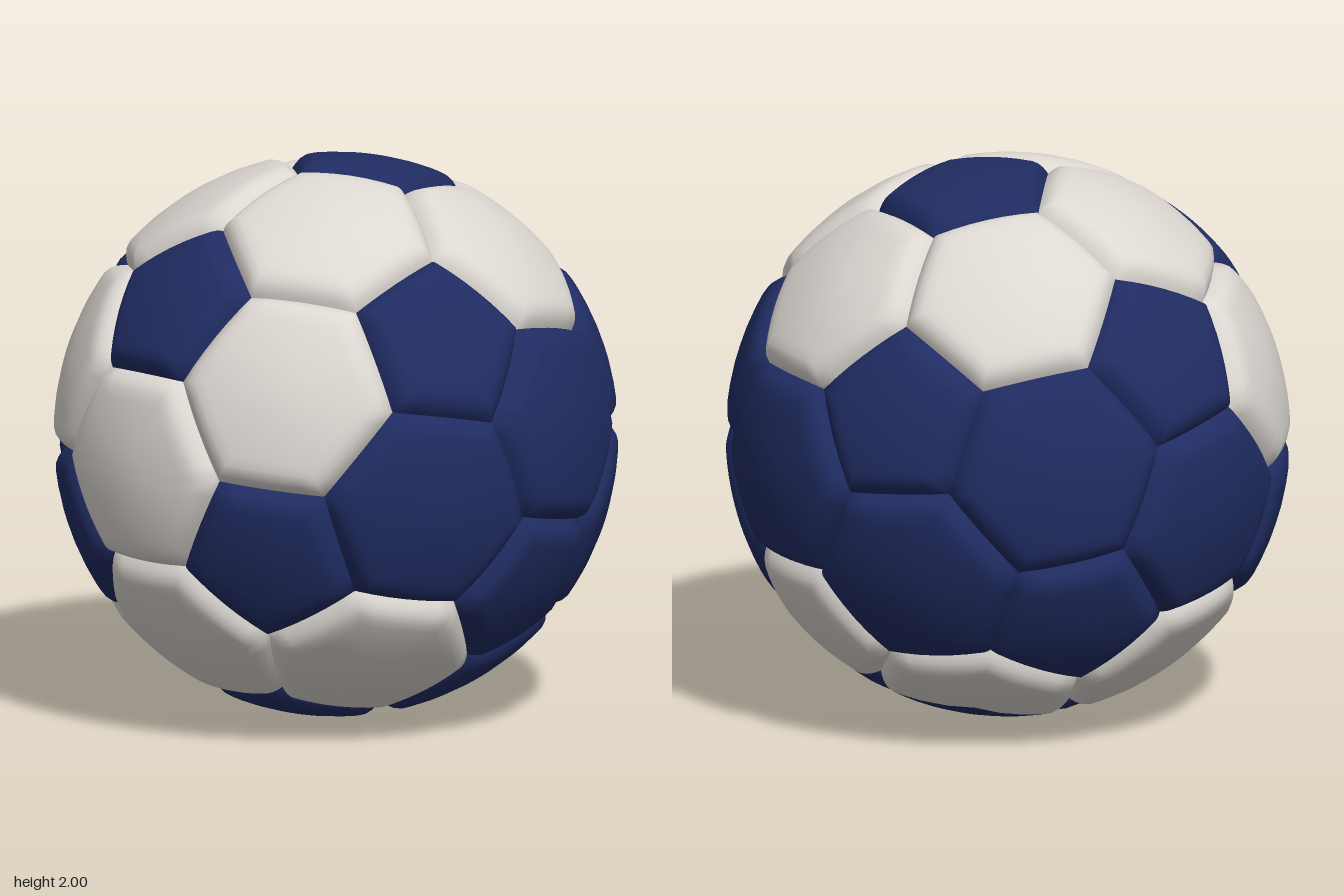
import * as THREE from 'three';

const navy = new THREE.MeshStandardMaterial({ color: 0x202c62 });
navy.name = 'navy leather';
const white = new THREE.MeshStandardMaterial({ color: 0xdcd7d1 });
white.name = 'off-white leather';

// Direction from an angle off +z and an azimuth around it (degrees)
function dir(polar, azimuth) {
  const p = THREE.MathUtils.degToRad(polar), a = THREE.MathUtils.degToRad(azimuth);
  return new THREE.Vector3(Math.sin(p) * Math.cos(a), Math.sin(p) * Math.sin(a), Math.cos(p));
}

// Icosahedron corners (pentagon centres), with one face turned to the front
function pentagonCentres() {
  const half = [];
  for (const a of [90, 210, 330]) half.push(dir(37.377, a), dir(79.188, a + 180));
  return [...half, ...half.map(v => v.clone().negate())];
}

// Puffed panel: rings from the centre outwards, rolled down into the seam
function panelGeometry(centre, corners) {
  const SEG = 6, n = corners.length, around = n * SEG;
  const rings = [0.25, 0.5, 0.68, 0.78, 0.86, 0.92, 0.965, 1];
  const inradius = n === 5 ? 0.29 : 0.37, roll = 0.085, seam = 0.05;
  const pos = [...centre.toArray()], index = [];
  const flat = centre.clone().multiplyScalar(corners[0].dot(centre));
  for (const t of rings) {
    const edge = Math.max(0, 1 - (1 - t) * inradius / roll);
    const radius = 1 - seam * edge ** 2;
    for (let i = 0; i < around; i++) {
      const k = Math.floor(i / SEG);
      const p = corners[k].clone().lerp(corners[(k + 1) % n], (i % SEG) / SEG);
      pos.push(...flat.clone().lerp(p, t).setLength(radius).toArray());
    }
  }
  const id = (r, i) => 1 + r * around + (i % around);
  const geo = new THREE.BufferGeometry();
  // One material group for each wedge between two corners
  for (let k = 0; k < n; k++) {
    const start = index.length;
    for (let i = k * SEG; i < (k + 1) * SEG; i++) {
      index.push(0, id(0, i), id(0, i + 1));
      for (let r = 0; r < rings.length - 1; r++) {
        const a = id(r, i), b = id(r + 1, i), c = id(r + 1, i + 1), d = id(r, i + 1);
        index.push(a, b, c, a, c, d);
      }
    }
    geo.addGroup(start, index.length - start, 0);
  }
  geo.setAttribute('position', new THREE.Float32BufferAttribute(pos, 3));
  geo.setIndex(index);
  geo.computeVertexNormals();
  return geo;
}

// The corners that belong to a panel, counter-clockwise seen from outside
function cornersOf(centre, points, n) {
  const near = [...points].sort((a, b) => b.dot(centre) - a.dot(centre)).slice(0, n);
  const u = near[0].clone().addScaledVector(centre, -near[0].dot(centre)).normalize();
  const v = centre.clone().cross(u);
  const angle = p => Math.atan2(p.dot(v), p.dot(u));
  return near.sort((a, b) => angle(a) - angle(b));
}

export function createModel() {
  const ball = new THREE.Group();
  ball.name = 'ball';
  const pents = pentagonCentres();
  const adjacent = (a, b) => a !== b && a.dot(b) > 0.4;

  // Seam corners: a third of the way along every edge; hexagons: every face
  const points = [], hexes = [];
  pents.forEach((a, i) => pents.forEach((b, j) => {
    if (!adjacent(a, b)) return;
    points.push(a.clone().lerp(b, 1 / 3).normalize());
    pents.forEach((c, k) => {
      if (i < j && j < k && adjacent(a, c) && adjacent(b, c))
        hexes.push(a.clone().add(b).add(c).normalize());
    });
  }));

  // Pentagons: all navy but the low one at the back
  const whitePentagon = new THREE.Vector3(0, -0.607, -0.795).normalize();
  for (const c of pents) {
    const material = c.dot(whitePentagon) > 0.95 ? white : navy;
    const mesh = new THREE.Mesh(panelGeometry(c, cornersOf(c, points, 5)), [material]);
    mesh.name = 'pentagonPanel';
    ball.add(mesh);
  }

  // Hexagons: white, with navy ones round the sides and lower back
  const navyHexes = [
    [0.934, -0.128, 0.333], [-0.934, -0.128, 0.333],
    [0.934, 0.128, -0.333], [-0.934, 0.128, -0.333],
    [0.577, -0.333, -0.745], [-0.577, -0.333, -0.745],
    [0, 0, -1], [0.357, -0.873, -0.333],
  ].map(p => new THREE.Vector3(...p));
  const twoTone = new THREE.Vector3(-0.357, -0.873, -0.333);
  for (const c of hexes) {
    const corners = cornersOf(c, points, 6);
    const geo = panelGeometry(c, corners);
    const material = navyHexes.some(h => h.dot(c) > 0.95) ? navy : white;
    // One panel underneath is partly navy
    if (c.dot(twoTone) > 0.95) {
      geo.groups.forEach((g, k) => {
        const mid = corners[k].clone().lerp(corners[(k + 1) % 6], 0.5).sub(c);
        g.materialIndex = mid.x + 0.5 * mid.z > 0.15 ? 1 : 0;
      });
    }
    const mesh = new THREE.Mesh(geo, [material, navy]);
    mesh.name = 'hexagonPanel';
    ball.add(mesh);
  }

  ball.rotation.z = 0.02;
  ball.position.y = 1;
  const model = new THREE.Group();
  model.name = 'football';
  model.add(ball);
  return model;
}
